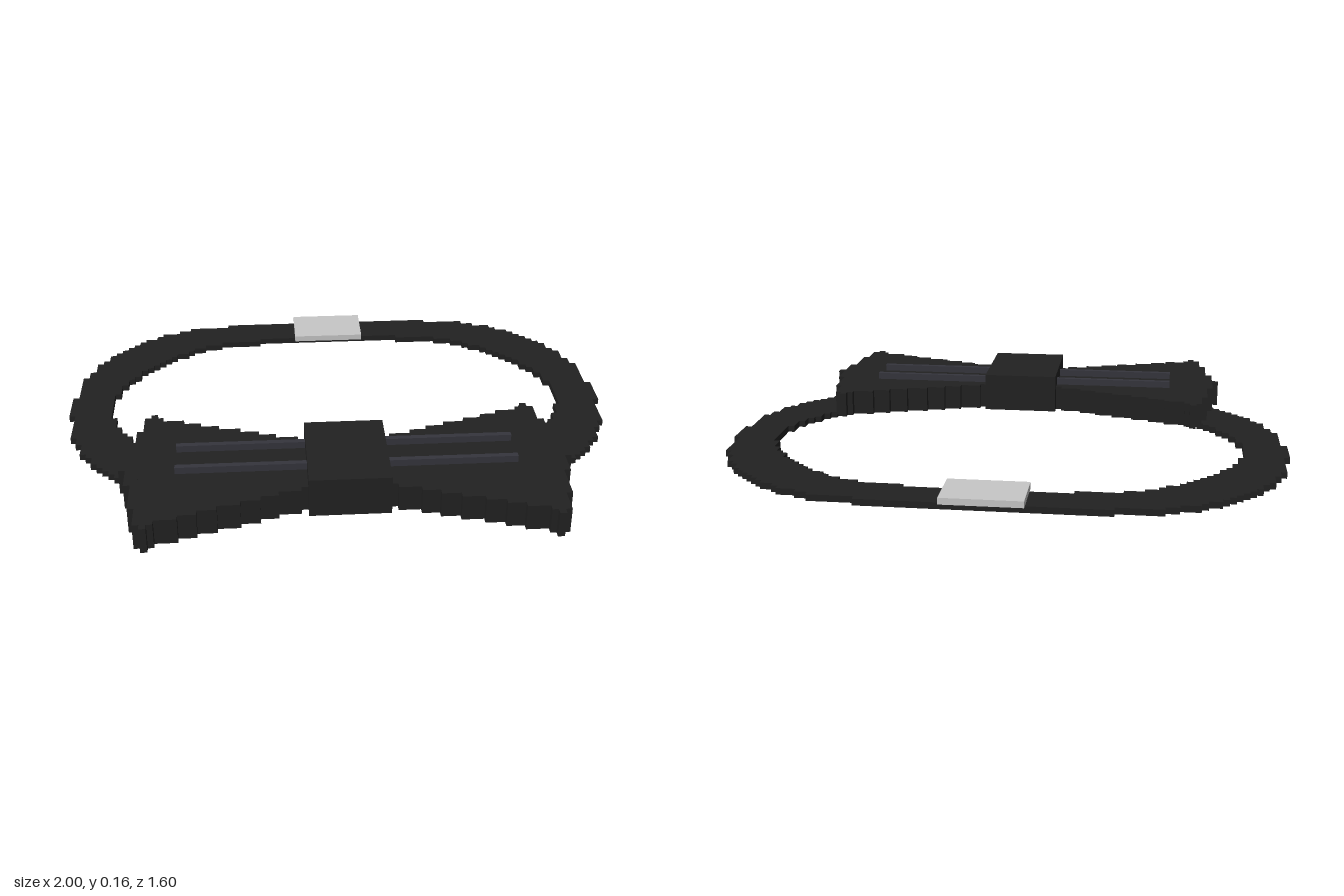
import * as THREE from 'three';
import { mergeGeometries } from 'three/addons/utils/BufferGeometryUtils.js';

const U = 2 / 89; // size of one block step

const fabric = new THREE.MeshStandardMaterial({ color: 0x222222 });
fabric.name = 'black fabric';
const pleatTone = new THREE.MeshStandardMaterial({ color: 0x35353d });
pleatTone.name = 'slate pleat';
const metal = new THREE.MeshStandardMaterial({ color: 0xc8c8c8 });
metal.name = 'light metal';

// Box given by its minimum and maximum on each axis
function block(x0, x1, y0, y1, z0, z1) {
  return new THREE.BoxGeometry(x1 - x0, y1 - y0, z1 - z0)
    .translate((x0 + x1) / 2, (y0 + y1) / 2, (z0 + z1) / 2);
}

function part(name, geometry, material) {
  const mesh = new THREE.Mesh(geometry, material);
  mesh.name = name;
  return mesh;
}

// Neck strap: a square six blocks wide is swept round a stadium path on the block grid
function strapGeometry(zCentre) {
  const cells = new Set();
  const key = (i, j) => (j + 50) * 100 + i + 50;
  const mark = (i, j) => {
    for (const a of [i, -i]) for (const b of [j, -1 - j]) cells.add(key(a, b));
  };
  for (let s = 0; s <= 400; s++) {
    const t = (s / 400) * Math.PI / 2;
    const m = Math.floor(26 * Math.cos(t));
    const n = Math.floor(26 * Math.sin(t));
    for (let a = 13; a <= 18; a++) {
      for (let b = -3; b <= 2; b++) mark(a + m, b + n);
    }
  }
  for (let a = 0; a <= 18; a++) for (let b = 23; b <= 28; b++) mark(a, b);

  // Merge each row of cells into long blocks
  const boxes = [];
  for (let j = -30; j < 30; j++) {
    let start = null;
    for (let i = -46; i <= 46; i++) {
      const filled = cells.has(key(i, j));
      if (filled && start === null) start = i;
      if (!filled && start !== null) {
        boxes.push(block((start - 0.5) * U, (i - 0.5) * U, 0, U,
          zCentre + j * U, zCentre + (j + 1) * U));
        start = null;
      }
    }
  }
  return mergeGeometries(boxes);
}

// Stepped wing profile: outer x of each slice, half depth in block steps
const WING = [
  [0.16, 6.5], [0.235, 7.5], [0.295, 8.5], [0.36, 9.5], [0.435, 10.5],
  [0.5, 11.5], [0.56, 12.5], [0.635, 13.5], [0.655, 14.5], [0.678, 15.5],
  [0.7, 14.5], [0.722, 10.5], [0.745, 4.5], [0.768, 0.5],
];

function wingGeometry(side, zCentre) {
  let x = 0.12;
  return mergeGeometries(WING.map(([end, half]) => {
    const [a, b] = side > 0 ? [x, end] : [-end, -x];
    x = end;
    return block(a, b, 0.024, 0.115, zCentre - half * U, zCentre + half * U);
  }));
}

export function createModel() {
  const model = new THREE.Group();
  model.name = 'bowTie';
  const bowZ = 0.453;

  model.add(part('neckStrap', strapGeometry(-0.13), fabric));

  // Bow wings with two raised pleats each
  for (const side of [1, -1]) {
    const label = side > 0 ? 'left' : 'right';
    model.add(part(label + 'Wing', wingGeometry(side, bowZ), fabric));
    for (const z of [0.35, 0.485]) {
      const [a, b] = side > 0 ? [0.13, 0.578] : [-0.578, -0.13];
      model.add(part(label + 'Pleat', block(a, b, 0.11, 0.139, z - 0.01, z + 0.01), pleatTone));
    }
  }

  // Centre knot and rear clasp
  model.add(part('knot', block(-0.137, 0.137, 0.024, 0.163, 0.27, 0.636), fabric));
  model.add(part('clasp', block(-0.137, 0.137, U, 2 * U, -0.8, -0.617), metal));
  return model;
}
